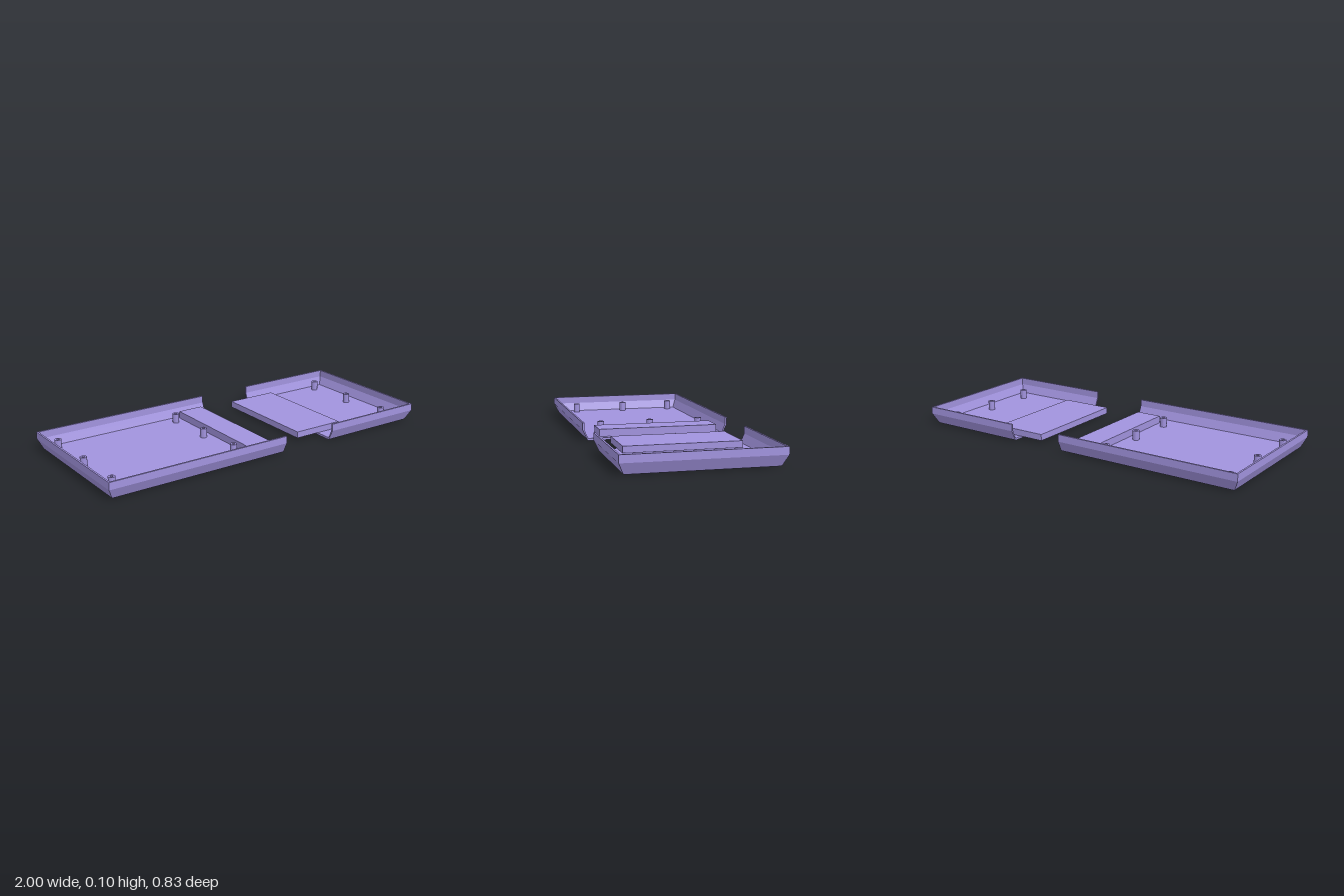
import * as THREE from 'three';
import { toCreasedNormals } from 'three/addons/utils/BufferGeometryUtils.js';

const material = new THREE.MeshStandardMaterial({ color: 0xa193de });
const FLOOR = 0.012;
const HALF_DEPTH = 0.415;

// Wall section as [inset, height]: up the outside, over the rim, down the inside
const WALL = [[0.031, 0], [0.026, 0.004], [0, 0.06], [0, 0.1], [0.01, 0.1], [0.01, 0.06], [0.03, FLOOR]];

// Tray with three walls, closed at x = 0 and open at x = length
function trayGeometry(length) {
  const pos = [];
  const face = (...p) => {
    for (let i = 1; i < p.length - 1; i++) pos.push(...p[0], ...p[i], ...p[i + 1]);
  };
  const rings = WALL.map(([inset, y]) => {
    const z = HALF_DEPTH - inset;
    return [[length, y, z], [inset, y, z], [inset, y, -z], [length, y, -z]];
  });
  const last = rings.length - 1;
  for (let r = 0; r < last; r++) {
    for (let k = 0; k < 3; k++) {
      face(rings[r][k], rings[r + 1][k], rings[r + 1][k + 1], rings[r][k + 1]);
    }
  }
  face(...rings[0]); // underside
  face(...[...rings[last]].reverse()); // inner floor

  // cut edge at the open end
  face(rings[0][0], rings[0][3], rings[last][3], rings[last][0]);
  for (const loop of [[0, 1, 6], [1, 2, 5, 6], [2, 3, 4, 5]]) {
    face(...loop.map((r) => rings[r][3]));
    face(...[...loop].reverse().map((r) => rings[r][0]));
  }
  const geometry = new THREE.BufferGeometry();
  geometry.setAttribute('position', new THREE.Float32BufferAttribute(pos, 3));
  geometry.computeVertexNormals();
  return geometry;
}

// Hollow screw post
function postGeometry() {
  const top = 0.065, outer = 0.019, bore = 0.008;
  const points = [[outer, FLOOR - 0.002], [outer, top], [bore, top], [bore, FLOOR + 0.001], [0, FLOOR + 0.001]]
    .map(([x, y]) => new THREE.Vector2(x, y));
  return toCreasedNormals(new THREE.LatheGeometry(points, 20), 0.6);
}

export function createModel() {
  const group = new THREE.Group();
  const add = (name, geometry, x = 0, y = 0, z = 0) => {
    const mesh = new THREE.Mesh(geometry, material);
    mesh.name = name;
    mesh.position.set(x, y, z);
    group.add(mesh);
    return mesh;
  };
  // Flat block given by its limits on each axis
  const addSlab = (name, [x0, x1], [y0, y1], [z0, z1]) =>
    add(name, new THREE.BoxGeometry(x1 - x0, y1 - y0, z1 - z0), (x0 + x1) / 2, (y0 + y1) / 2, (z0 + z1) / 2);

  // The two case halves, open ends facing each other
  add('longTray', trayGeometry(1.07), -1);
  add('shortTray', trayGeometry(0.61), 1).rotation.y = Math.PI;

  // Raised step and sliding tongue that join the halves
  addSlab('jointStep', [-0.12, 0.03], [FLOOR - 0.001, 0.053], [-0.365, 0.315]);
  addSlab('jointTongue', [0.24, 0.54], [FLOOR + 0.002, 0.05], [-0.345, 0.295]);

  // Rows of screw posts
  const post = postGeometry();
  const rows = [
    [-0.915, [-0.33, -0.025, 0.28]],
    [-0.175, [-0.317, -0.025, 0.267]],
    [0.88, [-0.33, -0.025, 0.28]],
  ];
  for (const [x, zs] of rows) for (const z of zs) add('screwPost', post, x, 0, z);

  return group;
}
